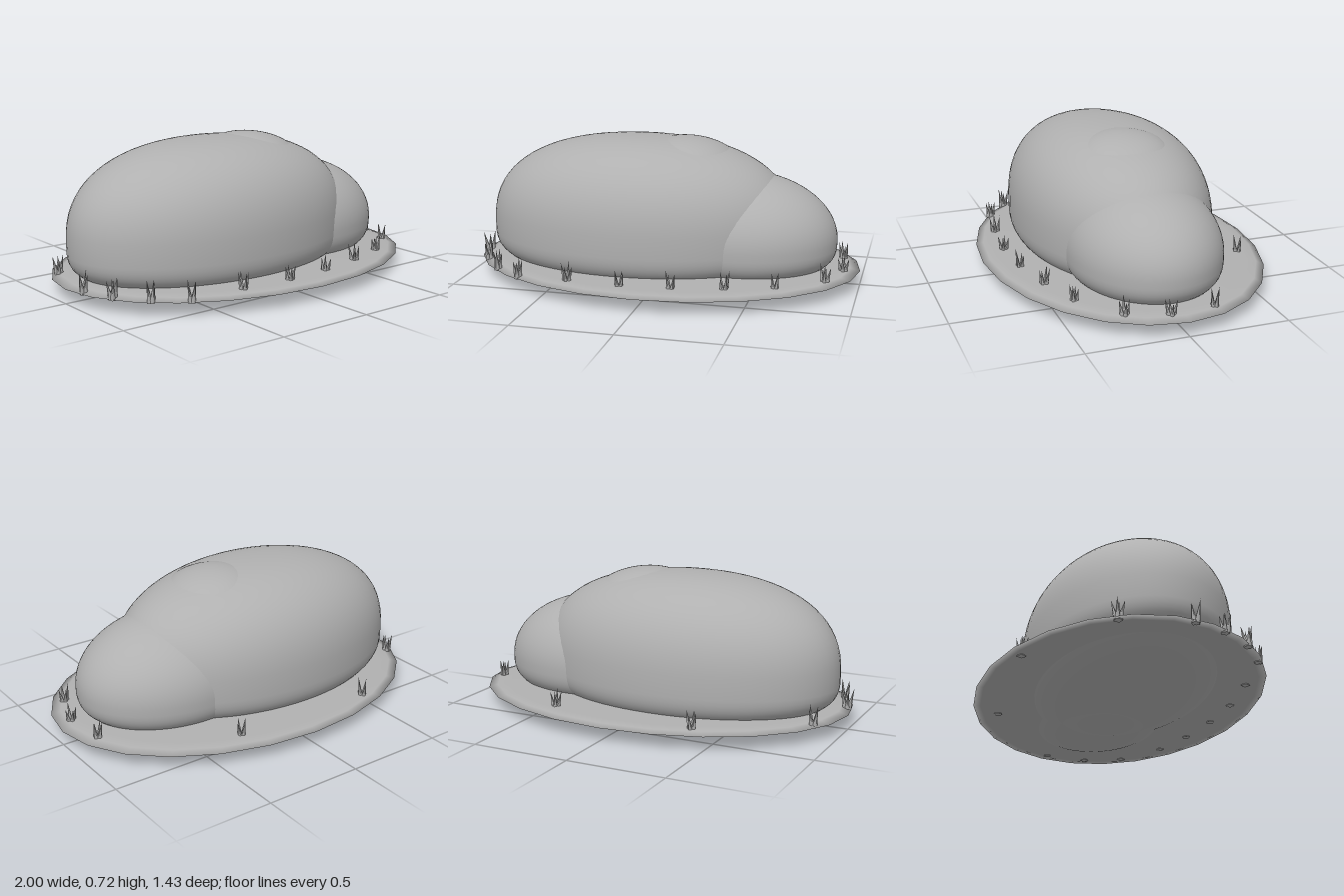
import * as THREE from 'three';
import { mergeVertices } from 'three/addons/utils/BufferGeometryUtils.js';

const grey = new THREE.MeshStandardMaterial({ color: 0xb0b0b0 });
grey.name = 'stone grey';

// Ellipsoid whose upper and lower halves have their own height and squareness
function boulder(rx, rz, up, upPower, down, downPower) {
  let geo = new THREE.SphereGeometry(1, 64, 40);
  geo.deleteAttribute('uv');
  geo.deleteAttribute('normal');
  const p = geo.attributes.position;
  for (let i = 0; i < p.count; i++) {
    const x = p.getX(i), y = p.getY(i), z = p.getZ(i);
    const power = 2 / (y > 0 ? upPower : downPower);
    const r = Math.hypot(x, z);
    const k = r > 1e-6 ? Math.pow(r, power) / r : 0;
    const h = Math.pow(Math.abs(y), power) * (y > 0 ? up : -down);
    p.setXYZ(i, x * k * rx, h, z * k * rz);
  }
  geo = mergeVertices(geo, 1e-5);
  geo.computeVertexNormals();
  return geo;
}

function add(parent, name, geo, x = 0, y = 0, z = 0) {
  const mesh = new THREE.Mesh(geo, grey);
  mesh.name = name;
  mesh.position.set(x, y, z);
  parent.add(mesh);
  return mesh;
}

// Small repeatable variation for the grass
let seed = 7;
const vary = () => (seed = (seed * 16807) % 2147483647) / 2147483647;

export function createModel() {
  const model = new THREE.Group();
  model.name = 'boulderOnGround';

  // Large and small rounded masses
  add(model, 'mainBoulder', boulder(0.8, 0.5, 0.47, 2.4, 0.235, 3.5), -0.14, 0.25, 0);
  add(model, 'smallBoulder', boulder(0.5, 0.385, 0.335, 2, 0.195, 3), 0.38, 0.22, 0);

  // Shallow swellings on the top and underside
  const bump = add(model, 'topBump', boulder(0.25, 0.25, 0.125, 2, 0.125, 2), 0.13, 0.597, 0);
  bump.rotation.z = -0.12;
  add(model, 'bottomBump', boulder(0.3, 0.3, 0.1, 2, 0.1, 2), 0.2, 0.1, 0);

  // Thin oval ground plate with a sloping rim
  const rim = [[0, 0.068], [0.95, 0.068], [1, 0.07], [0.95, 0.084], [0.88, 0.09], [0, 0.1]];
  const plate = new THREE.LatheGeometry(rim.map(([r, y]) => new THREE.Vector2(r, y)), 24);
  plate.scale(1, 1, 0.715);
  add(model, 'groundPlate', plate);

  // Grass tufts around the rim: splayed pointed blades
  const spots = [
    [-0.42, -0.57], [0.33, -0.55], [-0.9, -0.235], [-0.96, 0.1], [-0.9, 0.26],
    [-0.79, 0.41], [-0.64, 0.52], [-0.37, 0.56], [-0.1, 0.58], [0.15, 0.56],
    [0.4, 0.51], [0.63, 0.43], [0.85, 0.26], [0.92, 0.06], [0.9, -0.165],
  ];
  for (const [x, z] of spots) {
    const tuft = new THREE.Group();
    tuft.name = 'grassTuft';
    tuft.position.set(x, 0.066, z);
    tuft.rotation.y = vary() * 6.28;
    for (let i = 0; i < 4; i++) {
      const height = 0.085 + vary() * 0.03;
      const blade = new THREE.ConeGeometry(0.014, height, 5);
      blade.translate(0, height / 2, 0);
      blade.rotateZ(-0.12 - vary() * 0.13);
      blade.translate(0.008, 0, 0);
      blade.rotateY(i * Math.PI / 2);
      add(tuft, 'grassBlade', blade);
    }
    model.add(tuft);
  }
  return model;
}
